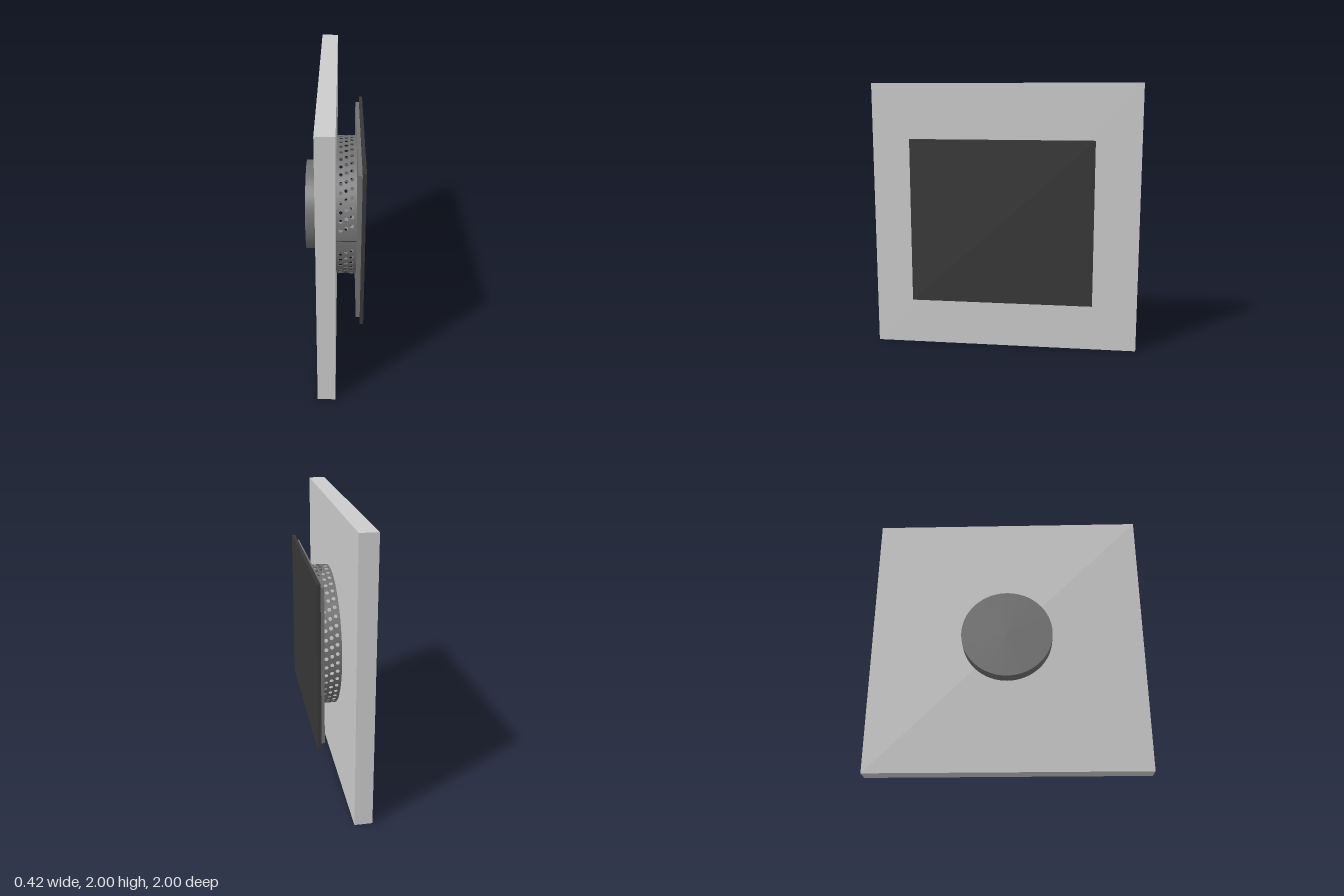
import * as THREE from 'three';
import { mergeGeometries } from 'three/addons/utils/BufferGeometryUtils.js';

const R = 0.518;                   // ring radius
const COUNT = 50;                  // holes per row
const STEP = (Math.PI * 2) / COUNT;
const MID_Y = 1;

const paint = (color, side = THREE.FrontSide) => new THREE.MeshStandardMaterial({ color, side });

// Box between x0 and x1, centred on the ring axis
function slab(name, x0, x1, height, depth, material) {
  const mesh = new THREE.Mesh(new THREE.BoxGeometry(x1 - x0, height, depth), material);
  mesh.name = name;
  mesh.position.set((x0 + x1) / 2, MID_Y, 0);
  return mesh;
}

// One cell of the ring wall, u in steps around the ring, x along its axis,
// with an optional round hole, bent onto the cylinder
function ringCell(u, x0, x1, holeX, hasHole) {
  const half = (STEP * R) / 2;
  const pts = [];
  for (let i = 0; i <= 4; i++) pts.push(new THREE.Vector2(-half + (i * half) / 2, x0));
  for (let i = 4; i >= 0; i--) pts.push(new THREE.Vector2(-half + (i * half) / 2, x1));
  const shape = new THREE.Shape(pts);
  if (hasHole) {
    const hole = new THREE.Path();
    hole.absarc(0, holeX, 0.0135, 0, Math.PI * 2, true);
    shape.holes.push(hole);
  }
  const geo = new THREE.ShapeGeometry(shape, 8);
  const p = geo.attributes.position;
  const n = geo.attributes.normal;
  for (let i = 0; i < p.count; i++) {
    const a = u * STEP + p.getX(i) / R;
    const x = p.getY(i);
    p.setXYZ(i, x, R * Math.sin(a), R * Math.cos(a));
    n.setXYZ(i, 0, Math.sin(a), Math.cos(a));
  }
  // turn the faces outward after the bend mirrors them
  const idx = geo.index;
  const a = new THREE.Vector3(), b = new THREE.Vector3(), c = new THREE.Vector3(), m = new THREE.Vector3();
  for (let i = 0; i < idx.count; i += 3) {
    a.fromBufferAttribute(p, idx.getX(i));
    b.fromBufferAttribute(p, idx.getX(i + 1));
    c.fromBufferAttribute(p, idx.getX(i + 2));
    m.fromBufferAttribute(n, idx.getX(i));
    if (b.sub(a).cross(c.sub(a)).dot(m) < 0) {
      const t = idx.getX(i + 1);
      idx.setX(i + 1, idx.getX(i + 2));
      idx.setX(i + 2, t);
    }
  }
  return geo;
}

// Three staggered rows of holes, left plain around the seam at the front
function perforatedRing(material) {
  const rows = [
    { x0: 0.013, x1: 0.064, hole: 0.044, shift: 0.25 },
    { x0: 0.064, x1: 0.102, hole: 0.083, shift: 0.5 },
    { x0: 0.102, x1: 0.158, hole: 0.122, shift: 0.75 },
  ];
  const cells = [];
  for (const r of rows) {
    for (let k = 0; k < COUNT; k++) {
      const u = k + r.shift;
      const fromSeam = Math.min(u, COUNT - u);
      cells.push(ringCell(u, r.x0, r.x1, r.hole, fromSeam > 1));
    }
  }
  const mesh = new THREE.Mesh(mergeGeometries(cells), material);
  mesh.name = 'perforatedRing';
  mesh.position.y = MID_Y;
  return mesh;
}

export function createModel() {
  const model = new THREE.Group();
  const dark = paint(0x707070);
  const black = paint(0x373737);

  // Square mounting plate
  model.add(slab('wallPlate', -0.11, 0.014, 2, 2, paint(0xcccccc)));

  // Round disc on the rear of the plate
  const disc = new THREE.Mesh(new THREE.CylinderGeometry(0.332, 0.332, 0.1, 64), dark);
  disc.name = 'rearDisc';
  disc.rotation.z = Math.PI / 2;
  disc.position.set(-0.158, MID_Y, 0);
  model.add(disc);

  // Thin perforated ring and its seam
  model.add(perforatedRing(paint(0x707070, THREE.DoubleSide)));
  const seam = slab('ringSeam', 0.014, 0.156, 0.004, 0.002, black);
  seam.position.z = R;
  model.add(seam);

  // Backing board and the panel in front of it
  model.add(slab('backingBoard', 0.155, 0.183, 1.132, 1.27, dark));
  model.add(slab('frontPanel', 0.183, 0.208, 1.2, 1.334, black));

  return model;
}
